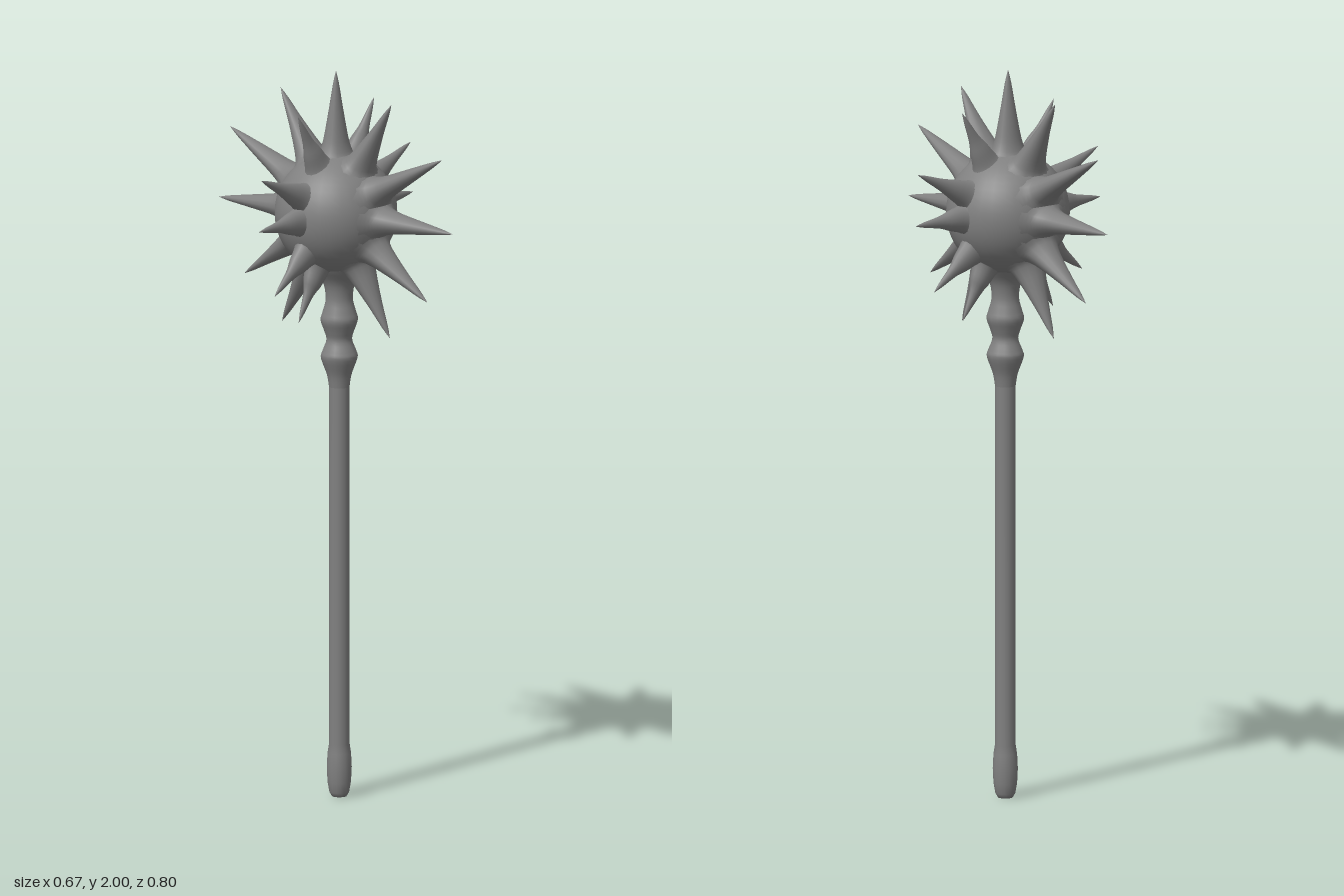
import * as THREE from 'three';

const steel = new THREE.MeshStandardMaterial({ color: 0x808080 });
steel.name = 'grey steel';

// Turned part from [radius, height] points, smoothed through a spline
function turned(name, points, sides, steps) {
  const curve = new THREE.SplineCurve(points.map(([r, y]) => new THREE.Vector2(r, y)));
  const profile = steps ? curve.getPoints(steps) : curve.points;
  profile.forEach((p) => { p.x = Math.max(p.x, 0); });
  const mesh = new THREE.Mesh(new THREE.LatheGeometry(profile, sides), steel);
  mesh.name = name;
  return mesh;
}

// Spike of unit length whose flared foot melts into the ball
function spike(length, foot) {
  const k = foot / length;
  return turned('spike', [
    [0.085, 0.14 * k], [0.058, 0.158 * k], [0.046, 0.178 * k],
    [0.036, 0.2 * k + 0.03], [0.021, 0.74], [0.009, 0.91], [0, 1],
  ], 14, 18);
}

// A flat fan of spikes; tips are [across, up] from the ball centre
function spikeFan(name, tips, foot, tangent, width) {
  const fan = new THREE.Group();
  fan.name = name;
  for (const [u, v] of tips) {
    const length = Math.hypot(u, v);
    const mesh = spike(length, foot);
    mesh.rotation.z = Math.atan2(v, u) - Math.PI / 2;
    mesh.scale.set(tangent, length, width);
    fan.add(mesh);
  }
  return fan;
}

export function createModel() {
  const model = new THREE.Group();
  model.name = 'spiked mace';

  // Straight shaft with a rounded grip end
  const shaft = turned('shaft', [
    [0, 0], [0.02, 0], [0.027, 0.012], [0.032, 0.04], [0.034, 0.08],
    [0.032, 0.12], [0.028, 0.145], [0.028, 1.15],
  ], 16, 0);

  // Double-ringed collar widening into the ball
  const collar = turned('collar', [
    [0.028, 1.13], [0.034, 1.165], [0.05, 1.21], [0.046, 1.23], [0.035, 1.26],
    [0.041, 1.285], [0.051, 1.315], [0.045, 1.34], [0.037, 1.375], [0.045, 1.42],
    [0.075, 1.465], [0.09, 1.5],
  ], 16, 40);
  for (const part of [shaft, collar]) part.position.set(-0.005, 0, 0.012);

  // Head: a ball and two crossing fans of spikes
  const head = new THREE.Group();
  head.name = 'head';
  head.position.set(-0.004, 1.61, 0);
  const ball = new THREE.Mesh(new THREE.SphereGeometry(0.168, 32, 24), steel);
  ball.name = 'ball';
  ball.scale.set(1.02, 1, 0.97);

  const sideTips = [];
  for (const s of [1, -1]) {
    for (const [u, v] of [[0.167, 0.29], [0.328, 0.14], [0.337, 0], [0.27, -0.19], [0.164, -0.28]]) {
      sideTips.push([s * u, v]);
    }
  }
  const frontTips = [[0, 0.39]];
  for (const s of [1, -1]) {
    for (const [u, v] of [[0.19, 0.32], [0.364, 0.19], [0.402, -0.01], [0.314, -0.21], [0.185, -0.325]]) {
      frontTips.push([s * u, v]);
    }
  }
  const sideFan = spikeFan('side spikes', sideTips, 1, 0.8, 0.62);
  const frontFan = spikeFan('front and back spikes', frontTips, 1, 0.8, 1.05);
  frontFan.rotation.y = -Math.PI / 2;
  head.add(ball, sideFan, frontFan);

  model.add(shaft, collar, head);
  return model;
}
